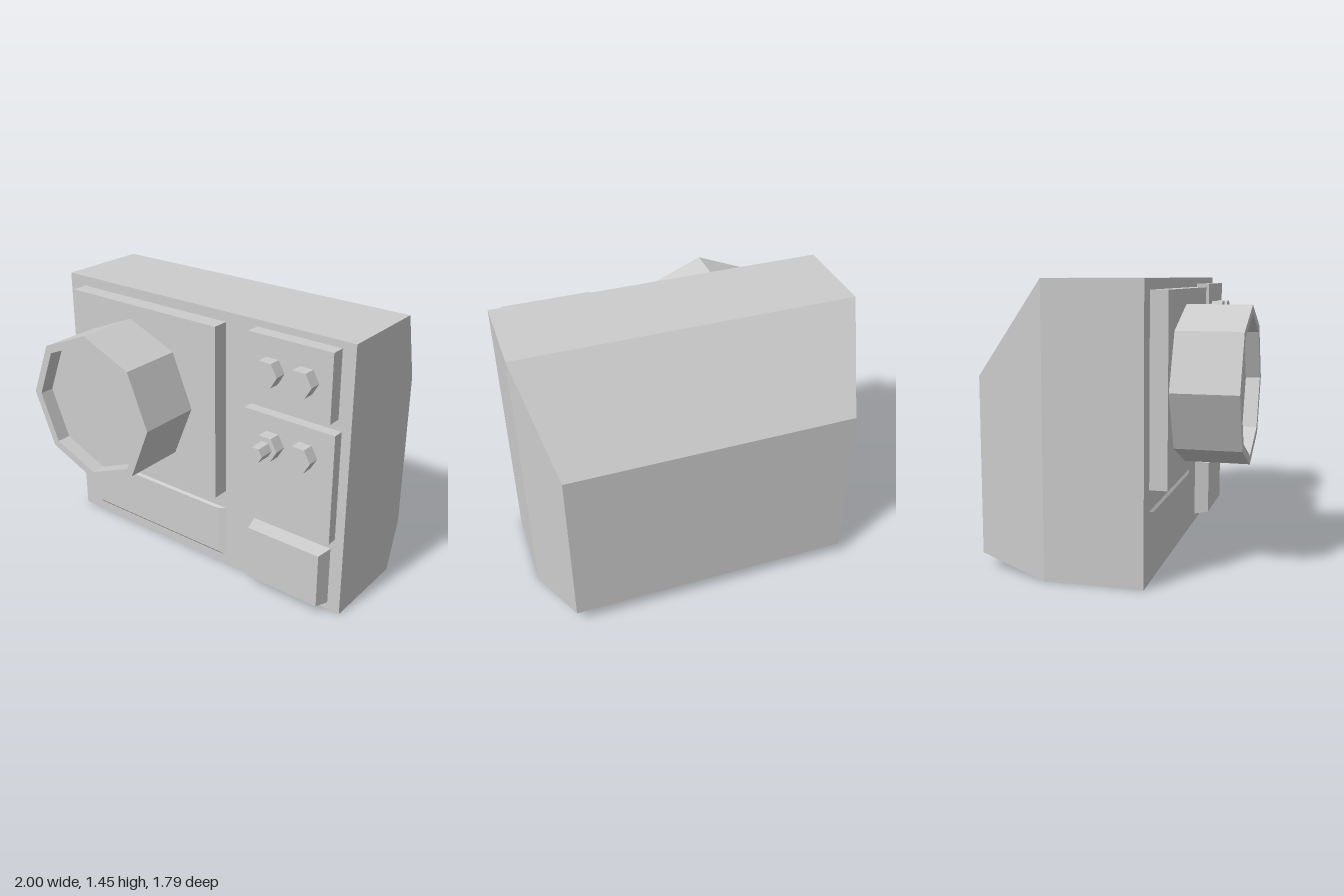
import * as THREE from 'three';

const grey = new THREE.MeshStandardMaterial({ color: 0xcccccc, flatShading: true });
grey.name = 'grey';

// Solid through rectangles [x0, x1, y0, y1, z], listed from back to front
function loft(rects) {
  const points = [];
  const faces = [];
  for (const [x0, x1, y0, y1, z] of rects) {
    points.push(x0, y0, z, x1, y0, z, x1, y1, z, x0, y1, z);
  }
  for (let k = 0; k < rects.length - 1; k++) {
    for (let i = 0; i < 4; i++) {
      const a = 4 * k + i;
      const b = 4 * k + ((i + 1) % 4);
      faces.push(a, b, b + 4, a, b + 4, a + 4);
    }
  }
  const f = 4 * (rects.length - 1);
  faces.push(0, 2, 1, 0, 3, 2, f, f + 1, f + 2, f, f + 2, f + 3);
  const g = new THREE.BufferGeometry();
  g.setAttribute('position', new THREE.Float32BufferAttribute(points, 3));
  g.setIndex(faces);
  const flat = g.toNonIndexed();
  flat.computeVertexNormals();
  return flat;
}

// Straight or tapered block standing on the front face
function block(x0, x1, y0, y1, z0, z1, insetX = 0, insetY = 0) {
  return loft([
    [x0, x1, y0, y1, z0],
    [x0 + insetX, x1 - insetX, y0 + insetY, y1 - insetY, z1],
  ]);
}

// Six-sided knob pointing forward
function knob(x, y, z0, z1, r) {
  return new THREE.CylinderGeometry(r, r, z1 - z0, 6)
    .rotateY(Math.PI / 6)
    .rotateX(Math.PI / 2)
    .translate(x, y, (z0 + z1) / 2);
}

export function createModel() {
  const model = new THREE.Group();
  model.name = 'controlBox';
  model.rotation.y = -Math.PI / 4;

  const add = (name, geometry) => {
    const mesh = new THREE.Mesh(geometry, grey);
    mesh.name = name;
    model.add(mesh);
  };
  const front = 0.29;

  // Housing with a tapered back
  add('housing', loft([
    [-0.693, 0.834, 0.073, 0.973, -0.58],
    [-0.827, 0.969, 0, 1.45, -0.205],
    [-0.827, 0.969, 0, 1.45, front],
  ]));

  // Raised panels
  add('mainPanel', block(-0.721, 0.247, 0.457, 1.397, front, 0.378));
  add('upperPanel', block(0.432, 0.898, 1.067, 1.415, front, 0.361));
  add('middlePanel', block(0.403, 0.919, 0.425, 1.01, front, 0.346));
  add('lowerPlate', block(-0.721, 0.248, 0.054, 0.353, front, 0.3, 0.045, 0.013));
  add('lowerBlock', block(0.434, 0.898, 0.04, 0.363, front, 0.369, 0.02, 0.013));

  // Eight-sided hollow dial
  const profile = [[0.4, 0], [0.4, 0.335], [0.355, 0.335], [0.355, 0.26], [0, 0.26]]
    .map(([r, h]) => new THREE.Vector2(r, h));
  add('dial', new THREE.LatheGeometry(profile, 8)
    .rotateX(Math.PI / 2)
    .translate(-0.307, 0.92, 0.375));

  // Two rows of knobs, one with a stub
  for (const [row, y, z] of [['upper', 1.25, 0.361], ['middle', 0.862, 0.346]]) {
    add(row + 'RightKnob', knob(0.572, y, z, z + 0.063, 0.07));
    add(row + 'LeftKnob', knob(0.76, y, z, z + 0.063, 0.07));
  }
  add('knobStub', knob(0.575, 0.862, 0.4, 0.49, 0.04));

  const root = new THREE.Group();
  root.name = 'model';
  root.add(model);
  return root;
}
